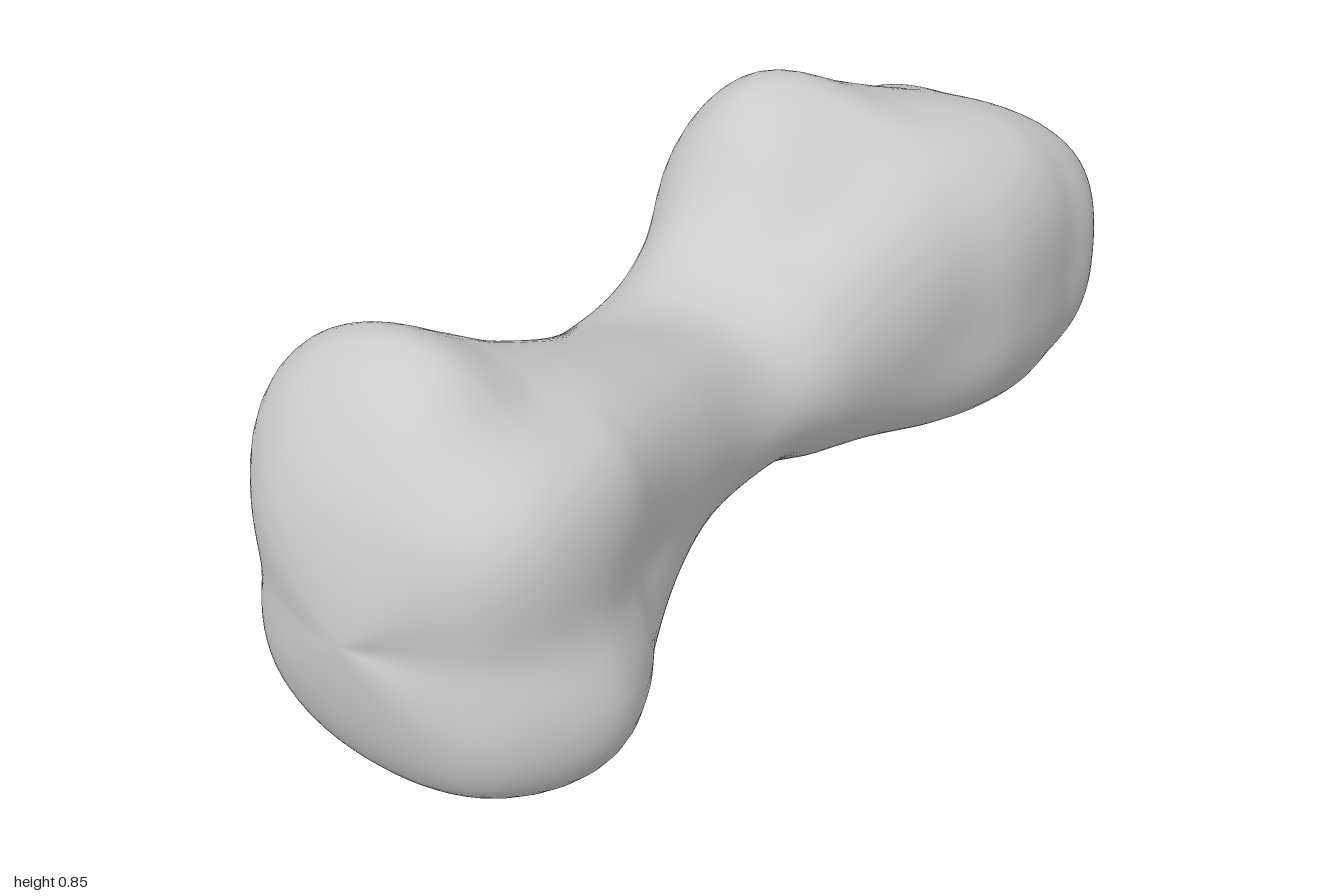
import * as THREE from 'three';

// Sections along the bone: x, then eight radii around the core line:
// top, top front, front, bottom front, bottom, bottom back, back, top back
const SECTIONS = [
  // right end with its top knuckle
  [-.975, .17, .15, .09, .17, .18, .17, .13, .18],
  [-.92, .30, .30, .225, .32, .30, .30, .24, .31],
  [-.83, .405, .38, .30, .395, .38, .38, .30, .41],
  [-.72, .445, .405, .325, .42, .408, .41, .32, .445],
  [-.6, .385, .395, .30, .39, .365, .38, .31, .385],
  [-.5, .335, .36, .265, .335, .295, .33, .295, .30],
  // shaft
  [-.3, .25, .285, .245, .235, .20, .25, .255, .235],
  [-.03, .165, .19, .22, .185, .16, .20, .26, .215],
  [.15, .225, .235, .24, .23, .20, .22, .27, .285],
  // left end with its back ridge
  [.3, .345, .285, .26, .27, .22, .26, .29, .395],
  [.45, .395, .335, .285, .32, .25, .33, .30, .43],
  [.58, .36, .37, .325, .35, .295, .40, .305, .38],
  [.72, .31, .37, .33, .36, .335, .44, .35, .31],
  [.83, .255, .32, .305, .32, .28, .41, .36, .30],
  [.92, .17, .22, .20, .21, .18, .30, .36, .25],
  [.97, .10, .13, .13, .12, .10, .16, .22, .15],
];

// Bulges and hollows: x, angle from the top towards the front, share of radius, length, spread
const SWELLS = [
  [-.7, 23, -.12, .2, 16],    // dip in front of the top knuckle
  [-.68, 110, .12, .17, 20],  // right lower front knuckle
  [-.68, 250, .08, .17, 20],  // right lower back knuckle
  [-.7, 157, -.07, .17, 16],  // groove under the right end
  [-.2, 105, -.08, .13, 28],  // hollow on the shaft
  [.35, 340, .08, .16, 18],   // crest of the back ridge
  [.3, 15, -.12, .16, 18],    // hollow beside the ridge
];
const CORE_Y = 0.41;
const coreZ = x => -0.01 + 0.1 * THREE.MathUtils.smoothstep(x, 0.75, 1);

// Smooth curve through four neighbouring values
function blend(a, b, c, d, t) {
  return b + 0.5 * t * (c - a + t * (2 * a - 5 * b + 4 * c - d + t * (3 * (b - c) + d - a)));
}

// Radius at an angle step between the eight ribs
function ribRadius(radii, u) {
  const i = Math.floor(u), r = k => radii[(i + k + 8) % 8];
  return blend(r(-1), r(0), r(1), r(2), u - i);
}

function swell(x, degrees) {
  return SWELLS.reduce((sum, [sx, angle, amount, length, spread]) => {
    const turn = (degrees - angle + 540) % 360 - 180;
    return sum + amount * Math.exp(-(((x - sx) / length) ** 2) - (turn / spread) ** 2);
  }, 1);
}

function boneGeometry(steps = 8, sides = 80) {
  // Closed tips; mirrored sections beyond them keep the ends round
  const tip = x => [x, 0, 0, 0, 0, 0, 0, 0, 0];
  const mirrored = row => row.map((v, i) => (i ? -v : v));
  const rows = [mirrored(SECTIONS[0]), tip(-1), ...SECTIONS, tip(1), mirrored(SECTIONS.at(-1))];
  const rings = (rows.length - 3) * steps;
  const pos = [], index = [];

  // Rings between the two tips
  for (let i = 1; i < rings; i++) {
    const s = Math.floor(i / steps), t = (i % steps) / steps;
    const [x, ...radii] = rows[0].map((_, k) =>
      blend(rows[s][k], rows[s + 1][k], rows[s + 2][k], rows[s + 3][k], t));
    for (let j = 0; j < sides; j++) {
      const a = j / sides * Math.PI * 2;
      const r = ribRadius(radii, j / sides * 8) * swell(x, j / sides * 360);
      pos.push(x, CORE_Y + r * Math.cos(a), coreZ(x) + r * Math.sin(a));
    }
  }

  // Skin between rings
  const id = (i, j) => i * sides + j % sides;
  for (let i = 0; i < rings - 2; i++) {
    for (let j = 0; j < sides; j++) {
      index.push(id(i, j), id(i, j + 1), id(i + 1, j));
      index.push(id(i, j + 1), id(i + 1, j + 1), id(i + 1, j));
    }
  }

  // Tips
  const end = pos.length / 3;
  pos.push(-1, CORE_Y, coreZ(-1), 1, CORE_Y, coreZ(1));
  for (let j = 0; j < sides; j++) {
    index.push(end, id(0, j + 1), id(0, j));
    index.push(end + 1, id(rings - 2, j), id(rings - 2, j + 1));
  }

  const geo = new THREE.BufferGeometry();
  geo.setAttribute('position', new THREE.Float32BufferAttribute(pos, 3));
  geo.setIndex(index);
  geo.computeVertexNormals();
  return geo;
}

export function createModel() {
  const group = new THREE.Group();
  const bone = new THREE.Mesh(boneGeometry(), new THREE.MeshStandardMaterial({ color: 0xcccccc }));
  bone.name = 'bone';
  group.add(bone);
  return group;
}
